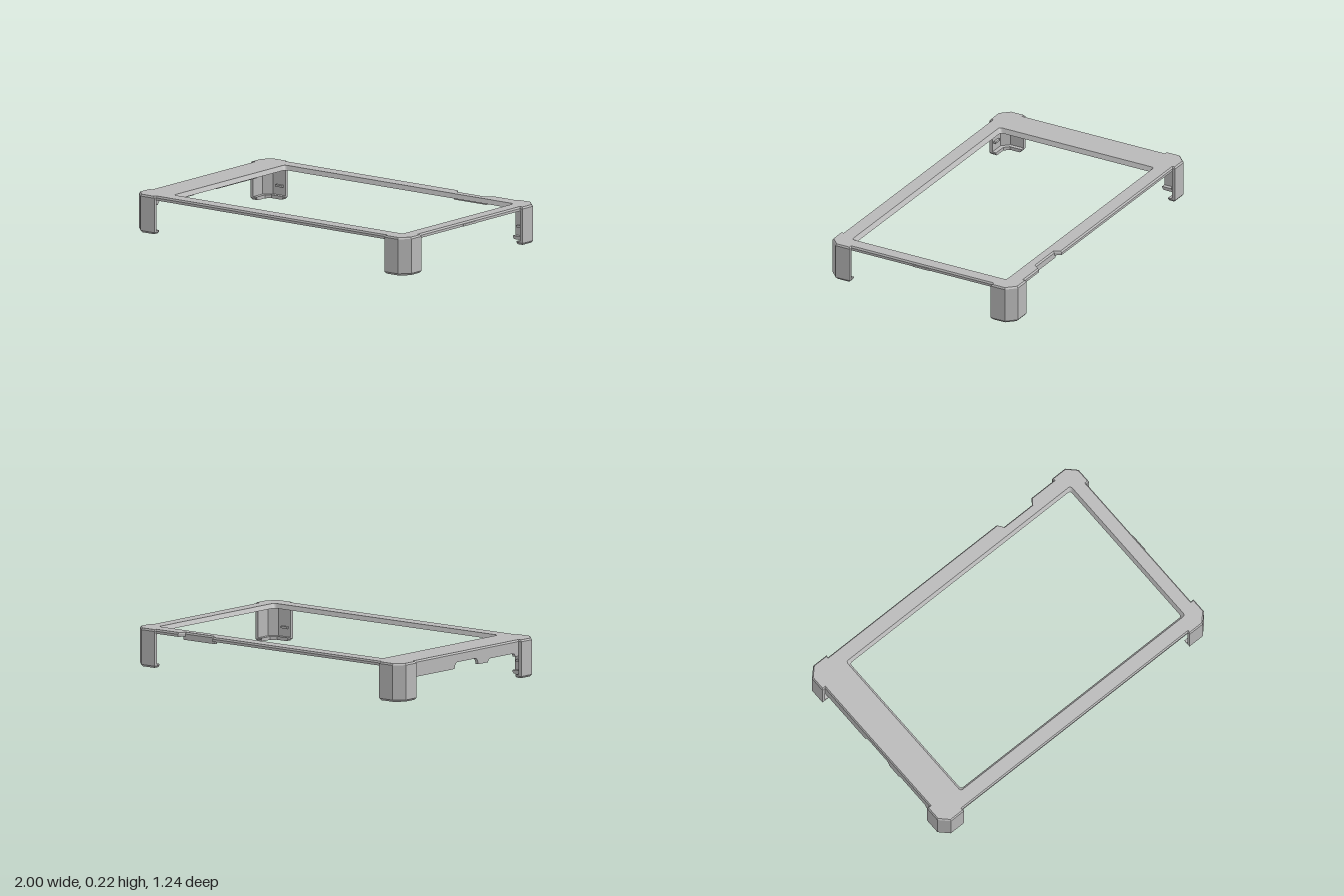
import * as THREE from 'three';

const grey = new THREE.MeshStandardMaterial({ color: 0xb8b8b8 });
grey.name = 'matte grey';

// Walls between stacked [x, z] loops, given as [{ y, pts }] from bottom to top
function walls(out, levels) {
  for (let k = 0; k + 1 < levels.length; k++) {
    const lo = levels[k], hi = levels[k + 1], n = lo.pts.length;
    for (let j = 0; j < n; j++) {
      const m = (j + 1) % n;
      const a = [lo.pts[j][0], lo.y, lo.pts[j][1]], b = [lo.pts[m][0], lo.y, lo.pts[m][1]];
      const c = [hi.pts[m][0], hi.y, hi.pts[m][1]], d = [hi.pts[j][0], hi.y, hi.pts[j][1]];
      out.push(...a, ...d, ...c, ...a, ...c, ...b);
    }
  }
}

// Flat cap at height y, with optional hole
function cap(out, y, pts, hole, up) {
  const v = (p) => new THREE.Vector2(p[0], p[1]);
  const all = hole ? [...pts, ...hole] : pts;
  const tris = THREE.ShapeUtils.triangulateShape(pts.map(v), hole ? [hole.map(v)] : []);
  for (const [a, b, c] of tris) {
    for (const i of up ? [a, c, b] : [a, b, c]) out.push(all[i][0], y, all[i][1]);
  }
}

function toMesh(name, positions) {
  const g = new THREE.BufferGeometry();
  g.setAttribute('position', new THREE.Float32BufferAttribute(positions, 3));
  g.computeVertexNormals();
  const mesh = new THREE.Mesh(g, grey);
  mesh.name = name;
  return mesh;
}

function box(name, w, h, d, x, y, z) {
  const mesh = new THREE.Mesh(new THREE.BoxGeometry(w, h, d), grey);
  mesh.name = name;
  mesh.position.set(x, y, z);
  return mesh;
}

// Mirror a corner path into one quadrant, keeping the loop direction
function mirror(pts, sx, sz) {
  const r = pts.map(([x, z]) => [x * sx, z * sz]);
  return sx * sz < 0 ? r.reverse() : r;
}

// Outer outline of the plate, drawn in by i
function outline(i) {
  const corner = [
    [0.98 - i, 0.47 + i], [1 - i, 0.47 + i], [1 - i, 0.565 - 0.4 * i],
    [0.945 - 0.4 * i, 0.62 - i], [0.845 + i, 0.62 - i], [0.845 + i, 0.605 - i],
  ];
  const notch = [[0.42, -0.605 + i], [0.445, -0.57 + i], [0.655, -0.57 + i], [0.68, -0.605 + i]];
  return [...mirror(corner, 1, 1), ...mirror(corner, -1, 1), ...mirror(corner, -1, -1),
    ...notch, ...mirror(corner, 1, -1)];
}

// Rounded window opening, widened by o; runs the opposite way to the outline
function opening(o) {
  const pts = [], r = 0.016, cx = 0.057, hx = 0.826 + o, hz = 0.5 + o;
  [[1, 1], [-1, 1], [-1, -1], [1, -1]].forEach(([sx, sz], q) => {
    for (let k = 0; k <= 4; k++) {
      const a = (q + k / 4) * Math.PI / 2;
      pts.push([cx + sx * (hx - r) + r * Math.cos(a), sz * (hz - r) + r * Math.sin(a)]);
    }
  });
  return pts.reverse();
}

// Corner leg loop: outer faces inset by o, wall thickness t
function legLoop(o, t) {
  return [
    [1 - o, 0.47 + o], [1 - o, 0.565 - 0.4 * o], [0.945 - 0.4 * o, 0.62 - o], [0.845 + o, 0.62 - o],
    [0.845 + o, 0.62 - t], [0.945 - 0.4 * t, 0.62 - t], [1 - t, 0.565 - 0.4 * t], [1 - t, 0.47 + o],
  ];
}

export function createModel() {
  const model = new THREE.Group();
  model.name = 'bezelFrame';

  // Plate with chamfered rim and sloped window edge
  const plate = [];
  walls(plate, [{ y: 0.2, pts: outline(0) }, { y: 0.215, pts: outline(0) }, { y: 0.225, pts: outline(0.007) }]);
  walls(plate, [{ y: 0.2, pts: opening(0) }, { y: 0.225, pts: opening(0.016) }]);
  cap(plate, 0.2, outline(0), opening(0), false);
  cap(plate, 0.225, outline(0.007), opening(0.016), true);
  model.add(toMesh('framePlate', plate));

  // Four hollow corner legs with an inward foot lip and a clip ridge
  const sections = [[0, 0.01, 0.045], [0.012, 0, 0.045], [0.02, 0, 0.045], [0.02, 0, 0.02], [0.2, 0, 0.02]];
  for (const sx of [1, -1]) {
    for (const sz of [1, -1]) {
      const leg = [];
      const levels = sections.map(([y, o, t]) => ({ y, pts: mirror(legLoop(o, t), sx, sz) }));
      walls(leg, levels);
      cap(leg, 0, levels[0].pts, null, false);
      model.add(toMesh('cornerLeg', leg));
      model.add(box('clipRidge', 0.05, 0.012, 0.016, sx * 0.885, 0.075, sz * 0.594));
    }
  }

  // Side skirt with two cut-outs along its lower edge
  const s = new THREE.Shape();
  s.moveTo(-0.48, 0.2);
  s.lineTo(-0.48, 0.13);
  s.lineTo(-0.105, 0.13);
  s.quadraticCurveTo(-0.1, 0.167, -0.075, 0.167);
  s.lineTo(0.08, 0.167);
  s.quadraticCurveTo(0.1, 0.167, 0.108, 0.13);
  s.lineTo(0.195, 0.13);
  s.quadraticCurveTo(0.2, 0.15, 0.215, 0.15);
  s.lineTo(0.415, 0.15);
  s.quadraticCurveTo(0.435, 0.15, 0.44, 0.13);
  s.lineTo(0.48, 0.13);
  s.lineTo(0.48, 0.2);
  const skirtGeo = new THREE.ExtrudeGeometry(s, { depth: 0.02, bevelEnabled: false, curveSegments: 6 });
  skirtGeo.rotateY(-Math.PI / 2);
  const skirt = new THREE.Mesh(skirtGeo, grey);
  skirt.name = 'sideSkirt';
  skirt.position.x = -0.96;
  model.add(skirt);

  // Small tab under the rear notch and latch on the narrow side
  model.add(box('rearTab', 0.235, 0.02, 0.018, 0.55, 0.19, -0.561));
  model.add(box('sideLatch', 0.008, 0.013, 0.115, 0.98, 0.2065, 0));

  return model;
}
